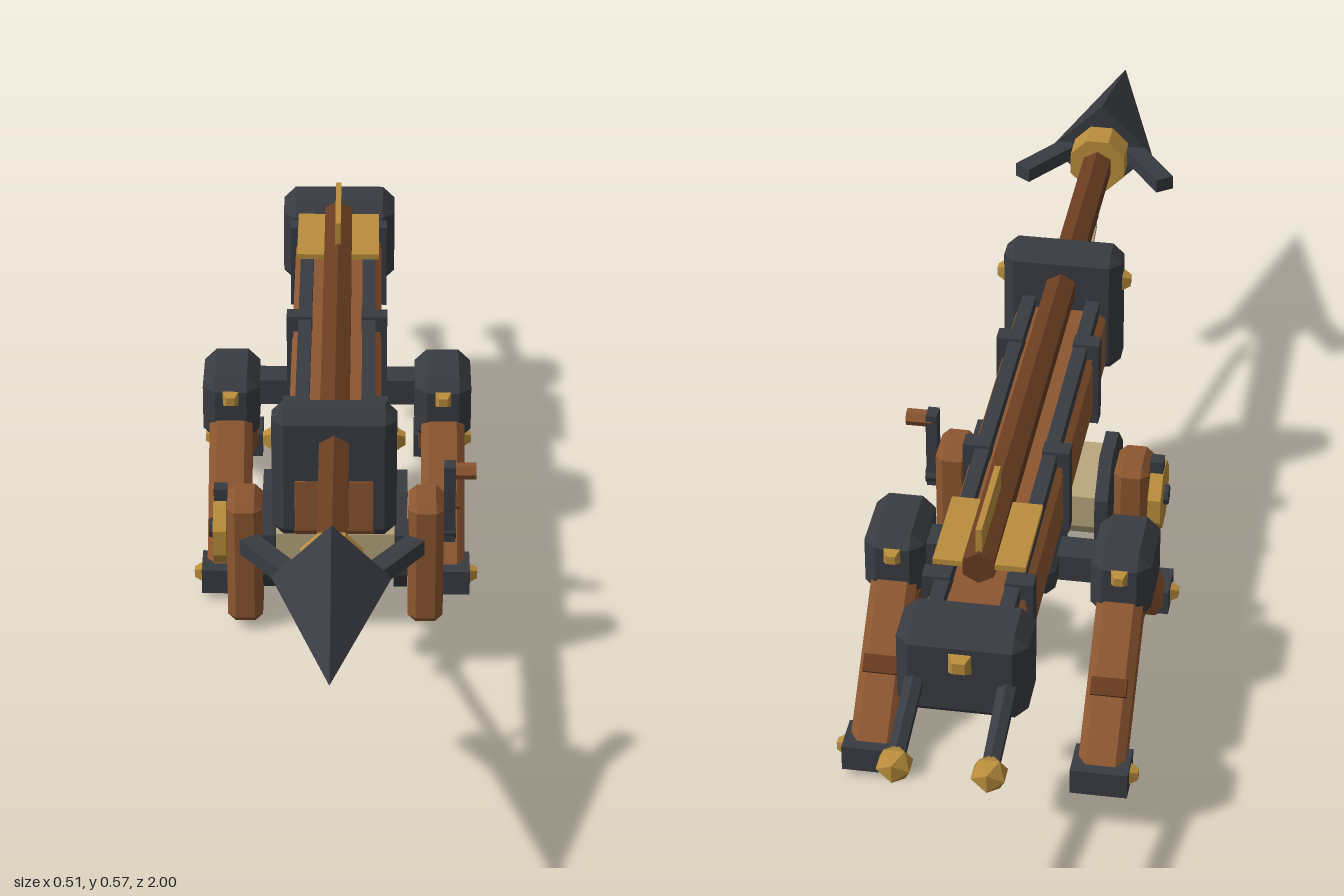
import * as THREE from 'three';
import { ConvexGeometry } from 'three/addons/geometries/ConvexGeometry.js';

const mat = (color) => new THREE.MeshStandardMaterial({ color, flatShading: true });
const V = (x, y, z) => new THREE.Vector3(x, y, z);

export function createModel() {
  const root = new THREE.Group();
  const iron = mat(0x383b41), wood = mat(0x8c5630), darkWood = mat(0x683c20);
  const gold = mat(0xb98d3c), rope = mat(0xb9a87f);

  const add = (name, geo, material, x = 0, y = 0, z = 0) => {
    const m = new THREE.Mesh(geo, material);
    m.name = name;
    m.position.set(x, y, z);
    root.add(m);
    return m;
  };

  // Box with every edge cut by c
  const chamfer = (w, h, d, c) => {
    const pts = [];
    for (const a of [-1, 1]) for (const b of [-1, 1]) for (const e of [-1, 1]) {
      const [x, y, z] = [a * w / 2, b * h / 2, e * d / 2];
      pts.push(V(x, y - b * c, z - e * c), V(x - a * c, y, z - e * c), V(x - a * c, y - b * c, z));
    }
    return new ConvexGeometry(pts);
  };
  const box = (name, material, x0, x1, y0, y1, z0, z1, c = 0) => {
    const [w, h, d] = [x1 - x0, y1 - y0, z1 - z0];
    const geo = c ? chamfer(w, h, d, c) : new THREE.BoxGeometry(w, h, d);
    return add(name, geo, material, (x0 + x1) / 2, (y0 + y1) / 2, (z0 + z1) / 2);
  };

  // Chamfered or plain bar running from p to q
  const bar = (name, material, p, q, w, h, c = 0) => {
    const len = p.distanceTo(q);
    const geo = c ? chamfer(w, h, len, c) : new THREE.BoxGeometry(w, h, len);
    const m = add(name, geo, material);
    m.position.copy(p).lerp(q, 0.5);
    m.lookAt(q);
    return m;
  };

  // Faceted rod from p (radius r0) to q (radius r1)
  const rod = (name, material, p, q, r0, r1 = r0, sides = 8, turn = 0) => {
    const geo = new THREE.CylinderGeometry(r1, r0, p.distanceTo(q), sides).rotateY(turn);
    const m = add(name, geo, material);
    m.position.copy(p).lerp(q, 0.5);
    m.quaternion.setFromUnitVectors(V(0, 1, 0), q.clone().sub(p).normalize());
    return m;
  };
  const stud = (p, dir, r = 0.02) =>
    rod('stud', gold, p, p.clone().addScaledVector(dir, 0.014), r, r * 0.55, 4, Math.PI / 4);

  // Harpoon: shaft, collar, head, barbs and fins
  const axisY = 0.486;
  rod('harpoonShaft', darkWood, V(0, axisY, -0.64), V(0, axisY, 0.65), 0.029, 0.029, 6);
  rod('harpoonCollar', gold, V(0, axisY, 0.63), V(0, axisY, 0.685), 0.054, 0.054, 8, Math.PI / 8);
  rod('harpoonHead', iron, V(0, axisY, 0.685), V(0, axisY, 1), 0.095, 0, 4);
  for (const s of [-1, 1]) {
    bar('barb', iron, V(s * 0.05, axisY, 0.70), V(s * 0.133, axisY, 0.582), 0.034, 0.026);
    box('sideFin', gold, s * 0.047 - 0.028, s * 0.047 + 0.028, 0.481, 0.491, -0.633, -0.46);
  }
  box('topFin', gold, -0.005, 0.005, 0.49, 0.556, -0.633, -0.455);

  // Stock with guide rails and iron bands
  box('stock', wood, -0.08, 0.08, 0.318, 0.442, -0.72, 0.276, 0.015);
  for (const s of [-1, 1])
    box('guideRail', iron, s * 0.057 - 0.012, s * 0.057 + 0.012, 0.43, 0.464, -0.72, 0.22);
  for (const z of [0.065, -0.265, -0.635]) {
    box('bandBottom', iron, -0.09, 0.09, 0.308, 0.322, z - 0.016, z + 0.016);
    for (const s of [-1, 1]) {
      box('bandSide', iron, s * 0.084 - 0.006, s * 0.084 + 0.006, 0.308, 0.455, z - 0.016, z + 0.016);
      box('bandTop', iron, s * 0.067 - 0.023, s * 0.067 + 0.023, 0.44, 0.469, z - 0.016, z + 0.016);
    }
  }

  // Front bracket and rear block
  box('muzzleBracket', iron, -0.105, 0.105, 0.315, 0.553, 0.2, 0.275, 0.02);
  box('rearBlock', iron, -0.105, 0.105, 0.312, 0.475, -0.81, -0.695, 0.022);
  stud(V(0, 0.425, -0.81), V(0, 0, -1), 0.026);

  // Grips with faceted knobs
  for (const s of [-1, 1]) {
    stud(V(s * 0.105, 0.49, 0.238), V(s, 0, 0));
    rod('grip', iron, V(s * 0.074, 0.382, -0.79), V(s * 0.074, 0.346, -0.965), 0.017, 0.015, 6);
    add('gripKnob', new THREE.IcosahedronGeometry(0.031, 0), gold, s * 0.074, 0.344, -0.969);
  }

  // Pivot under the stock
  box('pivotBlock', iron, -0.085, 0.085, 0.262, 0.325, -0.41, -0.25, 0.015);
  box('pivotAxle', iron, -0.19, 0.19, 0.265, 0.314, -0.357, -0.3);

  // Trestles, one on each side
  for (const s of [-1, 1]) {
    const x = s * 0.192;
    box('pivotHead', iron, x - 0.051, x + 0.051, 0.215, 0.342, -0.393, -0.24, 0.022);
    for (const [dir, topZ, footZ] of [[1, -0.27, -0.067], [-1, -0.35, -0.59]]) {
      const p = V(x, 0.25, topZ), q = V(x, 0.026, footZ);
      bar('leg', wood, p, q, 0.078, 0.068, 0.014);
      // Wooden cleat on the upper face of the leg
      const along = q.clone().sub(p).normalize();
      const out = V(0, Math.abs(along.z), dir * Math.abs(along.y));
      const c = p.clone().lerp(q, 0.52).addScaledVector(out, 0.036);
      bar('legCleat', darkWood, c.clone().addScaledVector(along, -0.015),
        c.clone().addScaledVector(along, 0.015), 0.06, 0.018);
      const fz = dir > 0 ? -0.07 : -0.578;
      box('footShoe', iron, x - 0.048, x + 0.048, 0.022, 0.069, fz - 0.036, fz + 0.036);
      stud(V(x + s * 0.048, 0.046, fz), V(s, 0, 0), 0.018);
      stud(V(x, 0.308, dir > 0 ? -0.24 : -0.393), V(0, 0, dir), 0.02);
    }
    box('legBrace', darkWood, x - 0.024, x + 0.024, 0.115, 0.155, -0.47, -0.17);

    // Winch posts and drum flanges
    const px = s * 0.159;
    box('winchPost', wood, px - 0.031, px + 0.031, 0.022, 0.262, -0.024, 0.072, 0.014);
    rod('drumFlange', iron, V(s * 0.103, 0.19, 0.02), V(s * 0.126, 0.19, 0.02), 0.104, 0.104, 8, Math.PI / 8);
  }

  // Rope drum
  rod('ropeDrum', rope, V(-0.105, 0.19, 0.02), V(0.105, 0.19, 0.02), 0.082, 0.082, 8, Math.PI / 8);
  rod('winchAxle', iron, V(-0.222, 0.19, 0.02), V(0.212, 0.19, 0.02), 0.018);

  // Crank on the left, ratchet wheel and pawl on the right
  box('crankArm', iron, 0.19, 0.21, 0.172, 0.32, 0.006, 0.036);
  rod('crankHandle', wood, V(0.2, 0.306, 0.02), V(0.246, 0.306, 0.02), 0.015, 0.015, 6);
  rod('ratchetWheel', gold, V(-0.214, 0.19, 0.02), V(-0.191, 0.19, 0.02), 0.062, 0.062, 8, Math.PI / 8);
  box('ratchetPawl', iron, -0.213, -0.19, 0.238, 0.27, 0.0, 0.026);

  // Rope from the drum, through the guide ring, up to the harpoon ring
  const ring = (name, r, t, y, z) =>
    add(name, new THREE.TorusGeometry(r, t, 5, 6).rotateY(Math.PI / 2), iron, 0, y, z);
  ring('guideRing', 0.023, 0.008, 0.272, 0.282);
  ring('harpoonRing', 0.032, 0.008, 0.424, 0.582);
  bar('guideHanger', iron, V(0, 0.285, 0.268), V(0, 0.33, 0.258), 0.016, 0.016);
  const path = [V(0, 0.268, 0.02), V(0, 0.275, 0.282), V(0, 0.388, 0.58)];
  for (let i = 0; i < 2; i++) rod('towRope', rope, path[i], path[i + 1], 0.009, 0.009, 6);

  return root;
}
